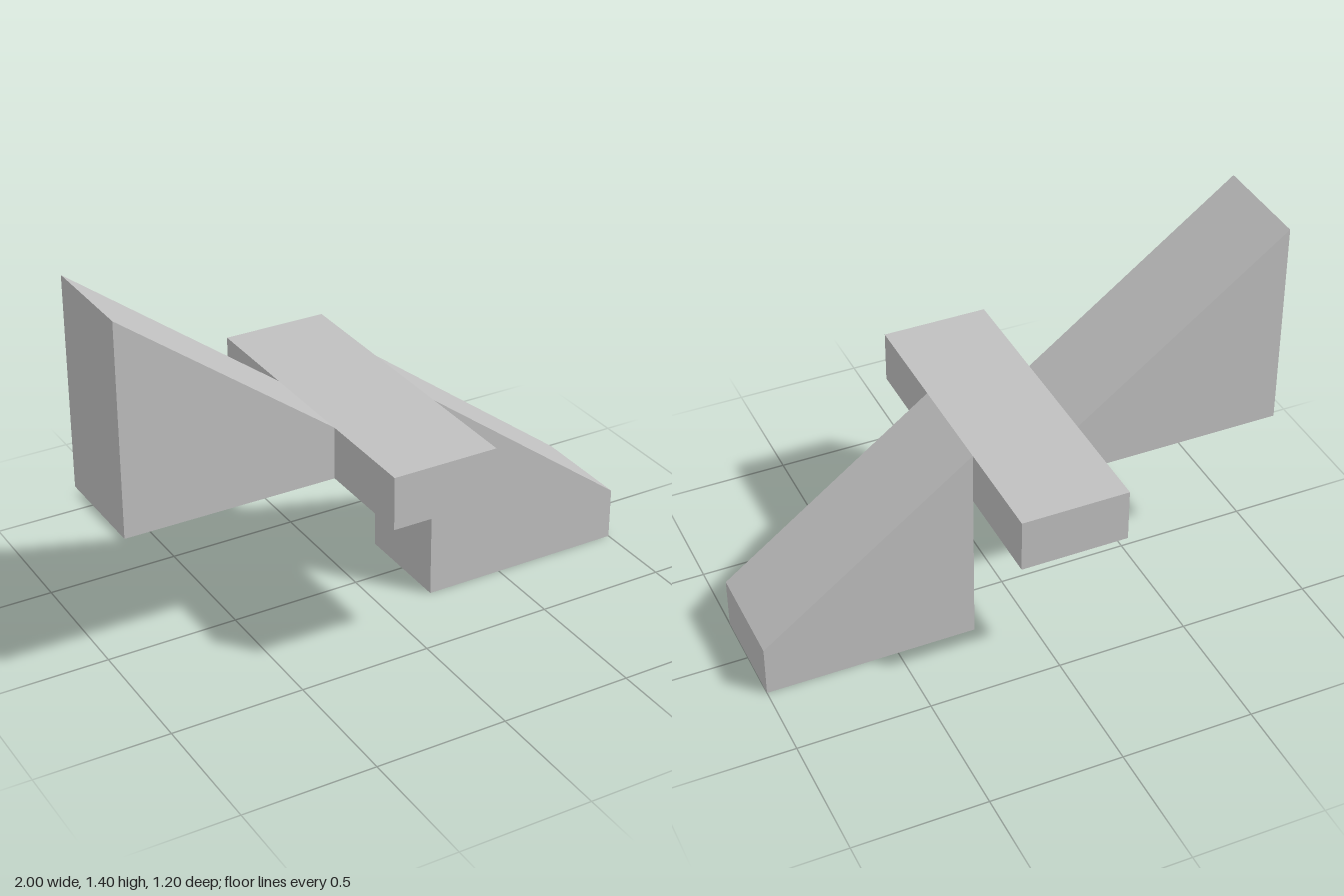
import * as THREE from 'three';

export function createModel() {
  const model = new THREE.Group();
  model.name = 'rampBridge';
  const grey = new THREE.MeshStandardMaterial({ color: 0xc0c0c0 });
  grey.name = 'plain grey';

  // Extrude a front outline along z, centred on z = 0
  function addBlock(name, outline, depth) {
    const shape = new THREE.Shape(outline.map(([x, y]) => new THREE.Vector2(x, y)));
    const geometry = new THREE.ExtrudeGeometry(shape, { depth, bevelEnabled: false });
    geometry.translate(0, 0, -depth / 2);
    const mesh = new THREE.Mesh(geometry, grey);
    mesh.name = name;
    model.add(mesh);
  }

  // Raised ramp descending to the platform
  addBlock('upperRamp', [[-1, 0.6], [-0.2, 0.6], [-0.2, 0.8], [-1, 1.4]], 0.4);
  // Flat crosswise platform
  addBlock('platform', [[-0.2, 0.6], [0.2, 0.6], [0.2, 0.8], [-0.2, 0.8]], 1.2);
  // Ramp from the platform down to the ground
  addBlock('lowerRamp', [[0.2, 0], [1, 0], [1, 0.2], [0.2, 0.8]], 0.4);

  return model;
}
